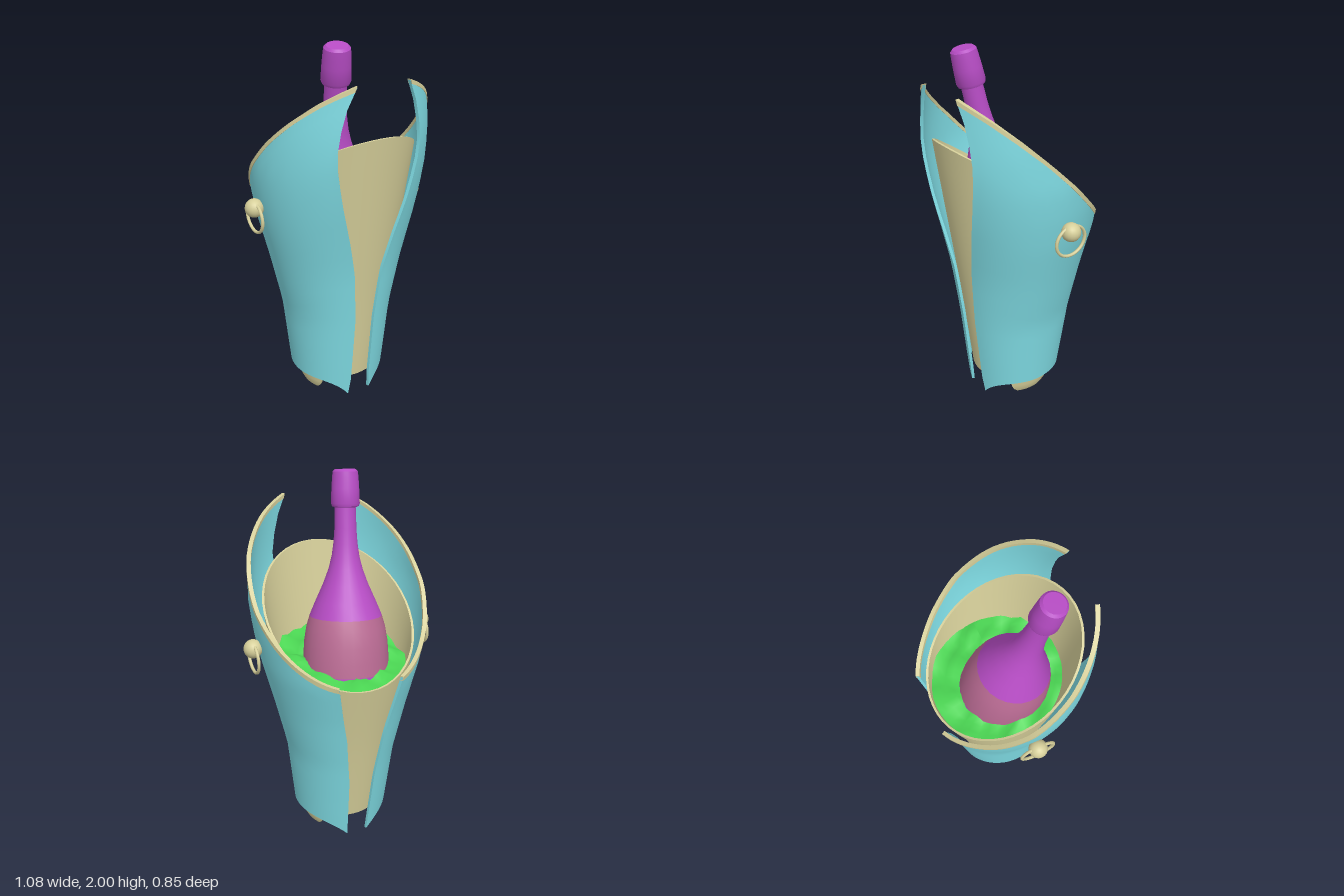
import * as THREE from 'three';
import { toCreasedNormals } from 'three/addons/utils/BufferGeometryUtils.js';

const mat = (color, side = THREE.FrontSide) => new THREE.MeshStandardMaterial({ color, side });
const brass = mat(0xd6cf9a), glaze = mat(0x7fdbe3), iceGreen = mat(0x4ad552, THREE.DoubleSide);
const purple = mat(0xb64cc4, THREE.DoubleSide), pink = mat(0xb86a92, THREE.DoubleSide);

const lerp = THREE.MathUtils.lerp;

// Linear interpolation through [y, value] pairs
function table(points) {
  return (y) => {
    let i = 0;
    while (i < points.length - 2 && y > points[i + 1][0]) i++;
    const [y0, a] = points[i], [y1, b] = points[i + 1];
    return lerp(a, b, THREE.MathUtils.clamp((y - y0) / (y1 - y0), 0, 1));
  };
}

// Closed curved plate; point(t, v, side) gives the outer (1) or inner (0) skin
function slab(point, nt, nv, capped = true) {
  const pos = [], idx = [], loop = 2 * (nv + 1);
  for (let i = 0; i <= nt; i++) {
    for (let j = 0; j < loop; j++) {
      const outer = j <= nv, v = outer ? j / nv : (loop - 1 - j) / nv;
      pos.push(...point(i / nt, v, outer ? 1 : 0));
    }
  }
  const quad = (a, b, c, d) => idx.push(a, b, c, a, c, d);
  for (let i = 0; i < nt; i++) {
    for (let j = 0; j < loop; j++) {
      const k = (j + 1) % loop, a = i * loop, b = a + loop;
      quad(a + j, b + j, b + k, a + k);
    }
  }
  if (capped) {
    const e = nt * loop;
    for (let j = 0; j < nv; j++) {
      const n = loop - 1 - j;
      quad(n, j, j + 1, n - 1);
      quad(e + j, e + n, e + n - 1, e + j + 1);
    }
  }
  const g = new THREE.BufferGeometry();
  g.setAttribute('position', new THREE.Float32BufferAttribute(pos, 3));
  g.setIndex(idx);
  return toCreasedNormals(g, 0.7);
}

// Mirror a plate point function to the other side of x = 0
const sided = (s, point) => (t, v, o) => {
  const p = point(s > 0 ? t : 1 - t, v, o);
  return [s * p[0], p[1], p[2]];
};

const polar = (r, th, y) => [r * Math.sin(th), y, r * Math.cos(th)];

// Bucket radius, swelling a little toward the back
const bucketBase = table([[0, 0.215], [0.11, 0.23], [0.6, 0.285], [1.56, 0.414]]);
const bucketR = (y, th) =>
  bucketBase(y) * (1 + 0.19 * Math.min(y, 1) * Math.pow((1 - Math.cos(th)) / 2, 1.3));
const bucketRim = (th) => 1.28 + 0.28 * Math.cos(th);

// Shell outline: radius at side, front and rear, half gaps, top and bottom edges
const sideR = table([[0, 0.25], [0.11, 0.266], [0.5, 0.302], [0.8, 0.37], [1.05, 0.432],
  [1.22, 0.463], [1.38, 0.48], [1.6, 0.473], [1.83, 0.446]]);
const frontR = table([[0, 0.25], [0.5, 0.3], [0.8, 0.332], [1, 0.37], [1.2, 0.415], [1.4, 0.453],
  [1.53, 0.467], [1.65, 0.462], [1.83, 0.45]]);
const rearR = table([[0, 0.268], [0.5, 0.345], [0.8, 0.4], [1.05, 0.458], [1.4, 0.48], [1.83, 0.446]]);
const frontGap = table([[0, 0.07], [0.1, 0.06], [0.5, 0.06], [0.8, 0.085], [1, 0.13], [1.2, 0.185],
  [1.4, 0.23], [1.53, 0.24], [1.65, 0.22], [1.75, 0.19], [1.83, 0.15]]);
const rearGap = table([[0, 0.06], [0.4, 0.075], [0.7, 0.11], [0.9, 0.15], [1.06, 0.18]]);
const shellTop = (t) => {
  const z = 0.458 * Math.cos(lerp(0.34, 2.74, t));
  return 1.385 + 0.91 * z + 0.3 * z * z;
};
const shellBottom = (t) => 0.11 * (1 - Math.pow(Math.abs(2 * t - 1), 3.5));

function shellPoint(t, y, off) {
  const th = lerp(Math.asin(frontGap(y) / frontR(y)), Math.PI - Math.asin(rearGap(y) / rearR(y)), t);
  const c = Math.cos(th);
  return polar(lerp(sideR(y), (c > 0 ? frontR : rearR)(y), c * c) + off, th, y);
}

export function createModel() {
  const root = new THREE.Group();
  const add = (name, geo, material, parent = root) => {
    const m = new THREE.Mesh(geo, material);
    m.name = name;
    parent.add(m);
    return m;
  };

  // Inner bucket with slanted rim, and its floor
  add('bucket', slab((t, v, o) => {
    const th = t * Math.PI * 2, y = lerp(0.11, bucketRim(th), v);
    return polar(bucketR(y, th) - (o ? 0 : 0.012), th, y);
  }, 48, 10, false), brass);
  add('bucketFloor', new THREE.CylinderGeometry(0.225, 0.225, 0.015, 40), brass).position.y = 0.118;

  for (const s of [1, -1]) {
    const side = s > 0 ? 'left' : 'right';

    // Outer shell and the trim along its top edge
    add(side + 'Shell', slab(sided(s, (t, v, o) =>
      shellPoint(t, lerp(shellBottom(t), shellTop(t) - 0.004, v), o ? 0 : -0.016)), 28, 18), glaze);
    add(side + 'ShellTrim', slab(sided(s, (t, v, o) =>
      shellPoint(t, shellTop(t) + lerp(-0.024, 0.002, v), o ? 0.003 : -0.019)), 36, 1), brass);

    // Curved foot under the bucket, narrowing to the ground
    add(side + 'Foot', slab(sided(s, (t, v, o) => {
      const spread = lerp(0.5, 0.75, Math.sqrt(v));
      return polar(lerp(0.2, 0.23, Math.sqrt(v)) - (o ? 0 : 0.022),
        Math.PI / 2 + 0.05 + (t * 2 - 1) * spread, 0.125 * v);
    }), 14, 5), brass);

    // Knob with a hanging ring
    const handle = new THREE.Group();
    handle.name = side + 'Handle';
    handle.position.set(s * 0.488, 1.16, -0.01);
    root.add(handle);
    add('knob', new THREE.SphereGeometry(0.05, 20, 14), brass, handle);
    const ring = add('ring', new THREE.TorusGeometry(0.091, 0.009, 8, 32), brass, handle);
    ring.rotation.y = Math.PI / 2;
    ring.position.y = -0.05;
    ring.scale.y = 0.9;
  }

  // Lumpy ice filling, a little higher at the front
  const ice = new THREE.RingGeometry(0.001, 1, 40, 9);
  const p = ice.attributes.position;
  for (let i = 0; i < p.count; i++) {
    const x = p.getX(i), z = -p.getY(i), q = Math.hypot(x, z), th = Math.atan2(x, z);
    const level = 1.02 + 0.065 * z;
    const r = q * (bucketR(level, th) - 0.008);
    const bump = Math.sin(x * 9 + 1.3) * Math.cos(z * 8) + 0.6 * Math.sin(x * 15 - z * 13);
    p.setXYZ(i, r * Math.sin(th), level + 0.034 * bump * (1 - 0.6 * q), r * Math.cos(th));
  }
  ice.computeVertexNormals();
  add('ice', ice, iceGreen);

  // Leaning bottle, turned around its own axis; distances measured down from the cap
  const bottle = new THREE.Group();
  bottle.name = 'bottle';
  bottle.position.set(-0.122, 1.986, 0.205);
  bottle.quaternion.setFromUnitVectors(new THREE.Vector3(0, 1, 0), new THREE.Vector3(-0.08, 1, 0.2).normalize());
  root.add(bottle);
  const turned = (name, pts, material) => {
    const g = new THREE.LatheGeometry(pts.map(([r, d]) => new THREE.Vector2(r, -d)).reverse(), 28);
    add(name, toCreasedNormals(g, 0.6), material, bottle);
  };
  turned('bottleCap', [[0, 0], [0.054, 0], [0.066, 0.012], [0.069, 0.04], [0.073, 0.1], [0.076, 0.175],
    [0.07, 0.19], [0.056, 0.195]], purple);
  turned('bottleNeck', [[0.056, 0.19], [0.058, 0.3], [0.064, 0.38], [0.074, 0.45], [0.092, 0.52], [0.122, 0.6],
    [0.163, 0.69], [0.197, 0.77]], purple);
  turned('bottleLabel', [[0.197, 0.77], [0.215, 0.83], [0.229, 0.91], [0.236, 1.0], [0.238, 1.07]], pink);
  turned('bottleBody', [[0.238, 1.07], [0.238, 1.13], [0.236, 1.2], [0, 1.2]], purple);

  return root;
}
